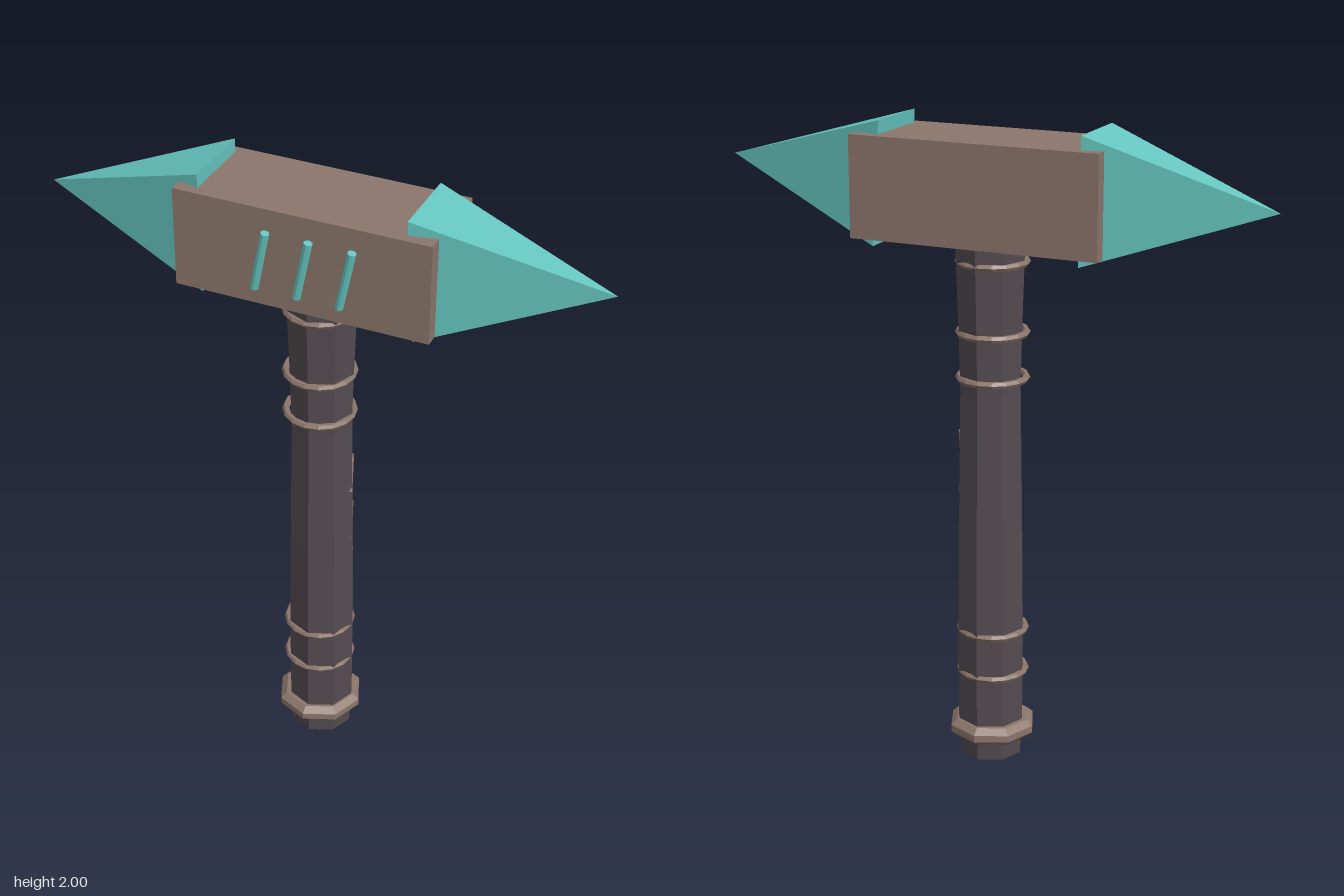
import * as THREE from 'three';
import { ConvexGeometry } from 'three/addons/geometries/ConvexGeometry.js';

const material = (name, color) => {
  const m = new THREE.MeshStandardMaterial({ color, flatShading: true });
  m.name = name;
  return m;
};
const V = (x, y, z) => new THREE.Vector3(x, y, z);
const AXIS_Z = -0.02; // depth of the handle axis

export function createModel() {
  const model = new THREE.Group();
  model.name = 'warHammer';
  const teal = material('tealCrystal', 0x66c6c1);
  const brown = material('brownMetal', 0x8c776c);
  const dark = material('darkWood', 0x544b50);

  const add = (name, geometry, mat) => {
    const mesh = new THREE.Mesh(geometry, mat);
    mesh.name = name;
    model.add(mesh);
    return mesh;
  };

  // Thin stick between two points
  const stick = (name, a, b, radius, tipRadius, sides, mat) => {
    const dir = b.clone().sub(a);
    const mesh = add(name, new THREE.CylinderGeometry(tipRadius, radius, dir.length(), sides), mat);
    mesh.position.copy(a).add(b).multiplyScalar(0.5);
    mesh.quaternion.setFromUnitVectors(V(0, 1, 0), dir.normalize());
    return mesh;
  };

  // Eight-sided handle, slightly waisted below the head
  const handleProfile = [[0, 0], [0.101, 0], [0.107, 0.12], [0.108, 0.4], [0.104, 0.75],
    [0.097, 1.2], [0.102, 1.4], [0.111, 1.66], [0, 1.66]];
  const handle = add('handle',
    new THREE.LatheGeometry(handleProfile.map(([r, y]) => new THREE.Vector2(r, y)), 8), dark);
  handle.position.set(0.003, 0, AXIS_Z);

  // Bevelled pommel ring
  const ringProfile = [[0.09, 0.06], [0.118, 0.06], [0.138, 0.078], [0.138, 0.1], [0.118, 0.118], [0.09, 0.118]];
  const ring = add('pommelRing',
    new THREE.LatheGeometry(ringProfile.map(([r, y]) => new THREE.Vector2(r, y)), 8), brown);
  ring.position.set(-0.002, 0, AXIS_Z);

  // Wire bands around the grip
  for (const y of [0.28, 0.42, 1.235, 1.375, 1.59]) {
    const band = add('gripBand', new THREE.TorusGeometry(0.102, 0.011, 6, 16), brown);
    band.rotation.x = Math.PI / 2;
    band.position.set(-0.003, y, AXIS_Z + 0.002);
  }

  // Slanted inlays on the left side of the handle
  for (const y of [0.59, 0.775, 0.955]) {
    stick('handleInlay', V(0.098, y, -0.015), V(0.083, y + 0.11, -0.06), 0.008, 0.008, 6, brown);
  }

  // Head block
  const head = add('headBlock', new THREE.BoxGeometry(0.78, 0.307, 0.295), brown);
  head.position.set(0, 1.805, AXIS_Z);

  // Four-sided spikes: top edge, bottom edge, apex
  const spike = (name, top, bottom, apex) => {
    const points = [V(...apex, AXIS_Z)];
    for (const z of [-0.14, 0.098]) points.push(V(...top, z), V(...bottom, z));
    add(name, new ConvexGeometry(points), teal);
  };
  spike('rightSpike', [-0.326, 2.0], [-0.322, 1.625], [-0.87, 1.805]);
  spike('leftSpike', [0.305, 2.0], [0.33, 1.627], [0.865, 1.845]);

  // Leaning bars in front of the head
  for (const x of [-0.112, 0.018, 0.148]) {
    stick('frontBar', V(x - 0.021, 1.71, 0.143), V(x + 0.021, 1.9, 0.154), 0.013, 0.013, 8, teal);
  }

  return model;
}
